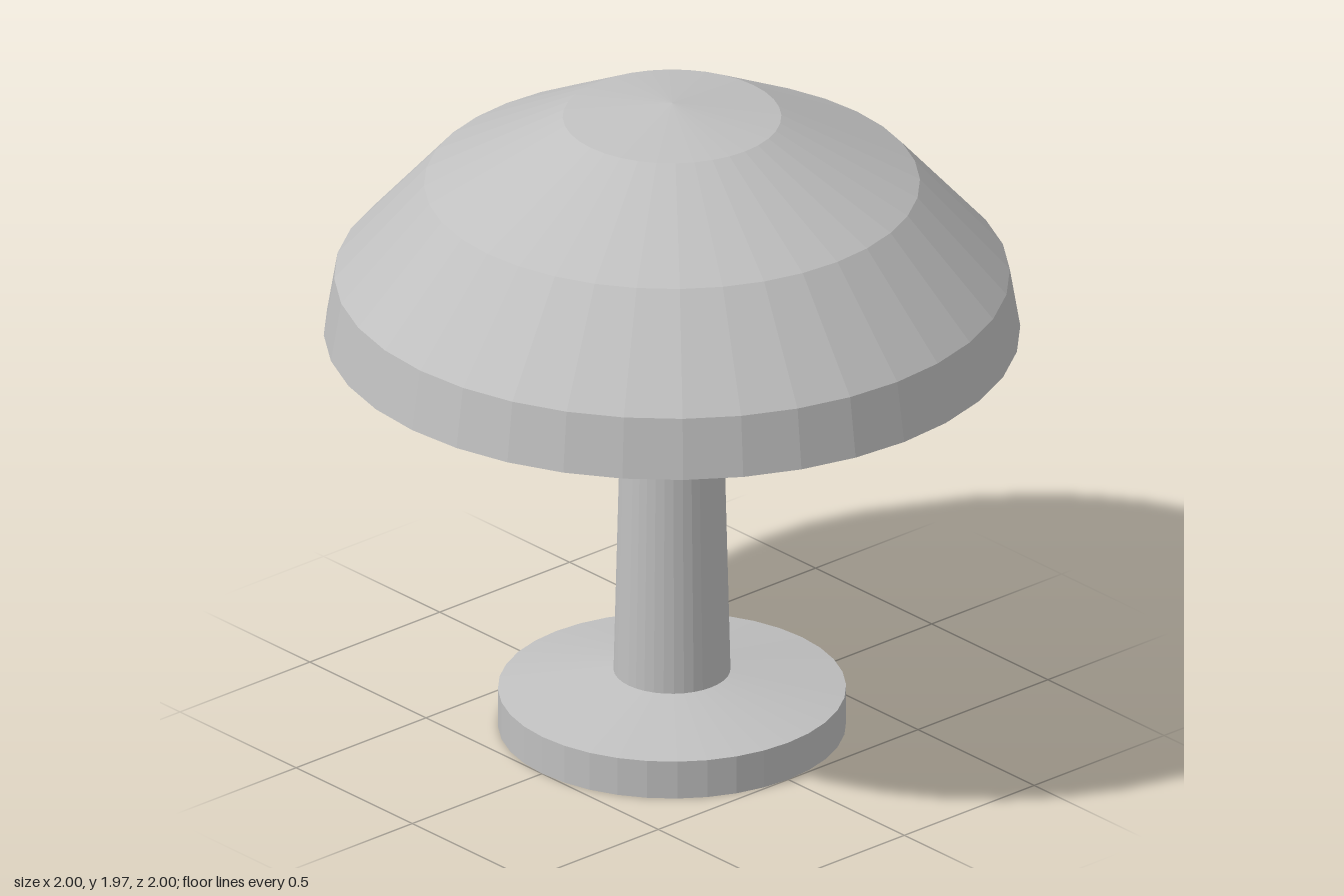
import * as THREE from 'three';

const SIDES = 36;

export function createModel() {
  const model = new THREE.Group();
  model.name = 'mushroomLamp';
  const grey = new THREE.MeshStandardMaterial({ color: 0xc0c0c0 });
  grey.name = 'plain grey';
  grey.flatShading = true;

  // Faceted turned part from a profile of [radius, height], bottom to top
  const turned = (name, profile) => {
    const points = profile.map(([r, y]) => new THREE.Vector2(r, y));
    const mesh = new THREE.Mesh(new THREE.LatheGeometry(points, SIDES), grey);
    mesh.name = name;
    model.add(mesh);
  };

  // Round foot with a shallow sloping top
  turned('base', [[0, 0], [0.5, 0], [0.5, 0.117], [0.168, 0.175]]);

  // Tapering column
  turned('stem', [[0.168, 0.175], [0.142, 1.22]]);

  // Domed cap with a slightly dished underside and a low pointed crown
  turned('cap', [
    [0.142, 1.22], [1, 1.25], [0.97, 1.43], [0.712, 1.72], [0.314, 1.93], [0, 1.973],
  ]);

  return model;
}
